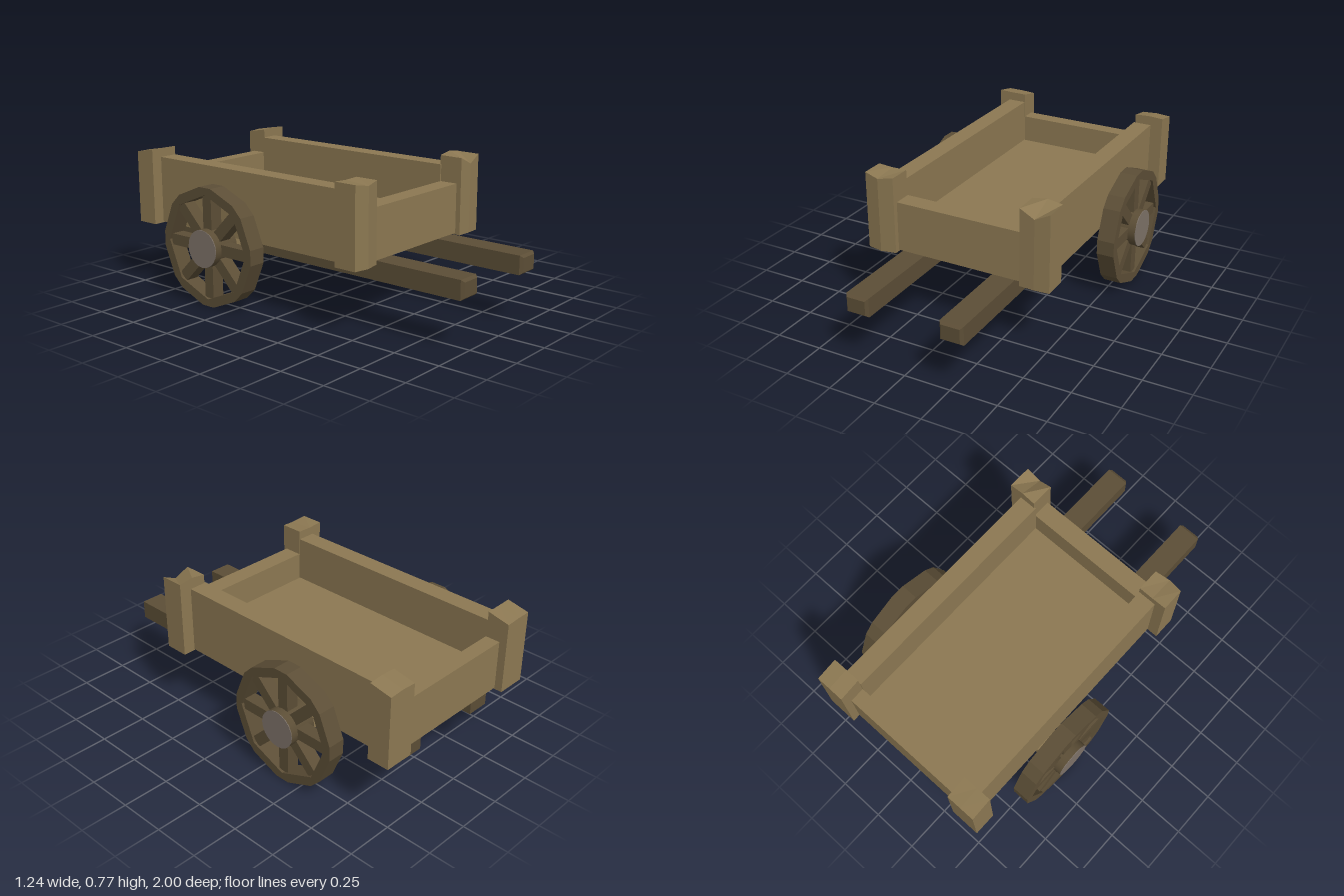
import * as THREE from 'three';

export function createModel() {
  const cart = new THREE.Group();
  cart.name = 'cart';

  const mat = (name, color) => {
    const m = new THREE.MeshStandardMaterial({ color });
    m.name = name;
    return m;
  };
  const wood = mat('light wood', 0x8c7852);
  const darkWood = mat('dark wood', 0x5c4e36);
  const metal = mat('grey metal', 0x7d7268);

  const add = (parent, name, geometry, material) => {
    const mesh = new THREE.Mesh(geometry, material);
    mesh.name = name;
    parent.add(mesh);
    return mesh;
  };

  // box given by its limits on each axis
  const box = (x0, x1, y0, y1, z0, z1) =>
    new THREE.BoxGeometry(x1 - x0, y1 - y0, z1 - z0)
      .translate((x0 + x1) / 2, (y0 + y1) / 2, (z0 + z1) / 2);

  // cart bed
  add(cart, 'floor', box(-0.36, 0.36, 0.357, 0.47, -0.89, 0.41), wood);
  add(cart, 'frontBoard', box(-0.345, 0.355, 0.355, 0.62, 0.40, 0.50), wood);
  add(cart, 'backBoard', box(-0.345, 0.355, 0.355, 0.62, -0.96, -0.88), wood);
  add(cart, 'leftBoard', box(0.35, 0.45, 0.35, 0.71, -0.88, 0.40), wood);
  add(cart, 'rightBoard', box(-0.45, -0.35, 0.35, 0.71, -0.88, 0.40), wood);

  // roughly hewn corner post: three top heights along the back and front edges,
  // and a bulge of the outer end at mid width
  function post(name, x0, x1, z0, z1, backTops, frontTops, bulge) {
    const bottom = 0.345;
    let g = new THREE.BoxGeometry(2, 2, 2, 2, 1, 1);
    const p = g.attributes.position;
    for (let i = 0; i < p.count; i++) {
      const col = Math.round(p.getX(i)) + 1;
      const front = p.getZ(i) > 0;
      const top = (front ? frontTops : backTops)[col];
      const z = front ? z1 + (col === 1 ? bulge : 0) : z0;
      p.setXYZ(i, x0 + (x1 - x0) * col / 2, p.getY(i) > 0 ? top : bottom, z);
    }
    g = g.toNonIndexed();
    g.computeVertexNormals();
    add(cart, name, g, wood);
  }
  post('frontRightPost', -0.51, -0.348, 0.40, 0.523, [0.76, 0.755, 0.757], [0.76, 0.745, 0.757], 0.015);
  post('frontLeftPost', 0.358, 0.518, 0.395, 0.525, [0.758, 0.77, 0.758], [0.757, 0.718, 0.757], 0.005);
  post('backRightPost', -0.51, -0.348, -1.0, -0.88, [0.735, 0.735, 0.73], [0.76, 0.758, 0.757], 0);
  post('backLeftPost', 0.358, 0.518, -1.0, -0.88, [0.735, 0.74, 0.735], [0.757, 0.762, 0.757], 0);

  // shafts under the bed with a chamfered front end
  for (const s of [-1, 1]) {
    let g = new THREE.BoxGeometry(0.126, 0.1, 1.93, 1, 1, 2);
    const p = g.attributes.position;
    for (let i = 0; i < p.count; i++) {
      const z = p.getZ(i);
      if (z > 0.9) p.setXY(i, p.getX(i) * 0.8, p.getY(i) * 0.76);
      else if (z > -0.1) p.setZ(i, 0.95);
    }
    g = g.toNonIndexed();
    g.computeVertexNormals();
    g.translate(s * 0.258, 0.305, 0.035);
    add(cart, s > 0 ? 'leftShaft' : 'rightShaft', g, darkWood);
  }

  add(cart, 'axle', box(-0.48, 0.48, 0.28, 0.343, -0.48, -0.36), wood);

  // eight-spoked wheel, its axis along x
  const rimShape = new THREE.Shape();
  const hole = new THREE.Path();
  const outer = [], inner = [];
  for (let i = 0; i < 8; i++) {
    const a = i * Math.PI / 4;
    const half = 0.126;
    for (const d of [-half, half]) {
      outer.push(new THREE.Vector2(Math.cos(a + d), Math.sin(a + d)).multiplyScalar(0.3175));
    }
    inner.push(new THREE.Vector2(Math.cos(a), Math.sin(a)).multiplyScalar(0.278));
  }
  rimShape.setFromPoints(outer);
  hole.setFromPoints(inner);
  rimShape.holes.push(hole);
  const rimGeometry = new THREE.ExtrudeGeometry(rimShape, { depth: 0.094, bevelEnabled: false })
    .translate(0, 0, -0.047).rotateY(Math.PI / 2);

  for (const s of [-1, 1]) {
    const wheel = new THREE.Group();
    wheel.name = s > 0 ? 'leftWheel' : 'rightWheel';
    wheel.position.set(s * 0.542, 0.315, -0.395);
    add(wheel, 'rim', rimGeometry, darkWood);
    for (let i = 0; i < 8; i++) {
      const spoke = add(wheel, 'spoke', box(-0.035, 0.035, 0.05, 0.272, -0.03, 0.03), darkWood);
      spoke.rotation.x = i * Math.PI / 4;
    }
    const hub = new THREE.CylinderGeometry(0.1, 0.1, 0.15, 20).rotateZ(-Math.PI / 2);
    add(wheel, 'hub', hub, darkWood);
    const cap = new THREE.CylinderGeometry(0.1, 0.1, 0.004, 20).rotateZ(-Math.PI / 2);
    add(wheel, 'hubCap', cap, metal).position.x = s * 0.076;
    cart.add(wheel);
  }

  return cart;
}
